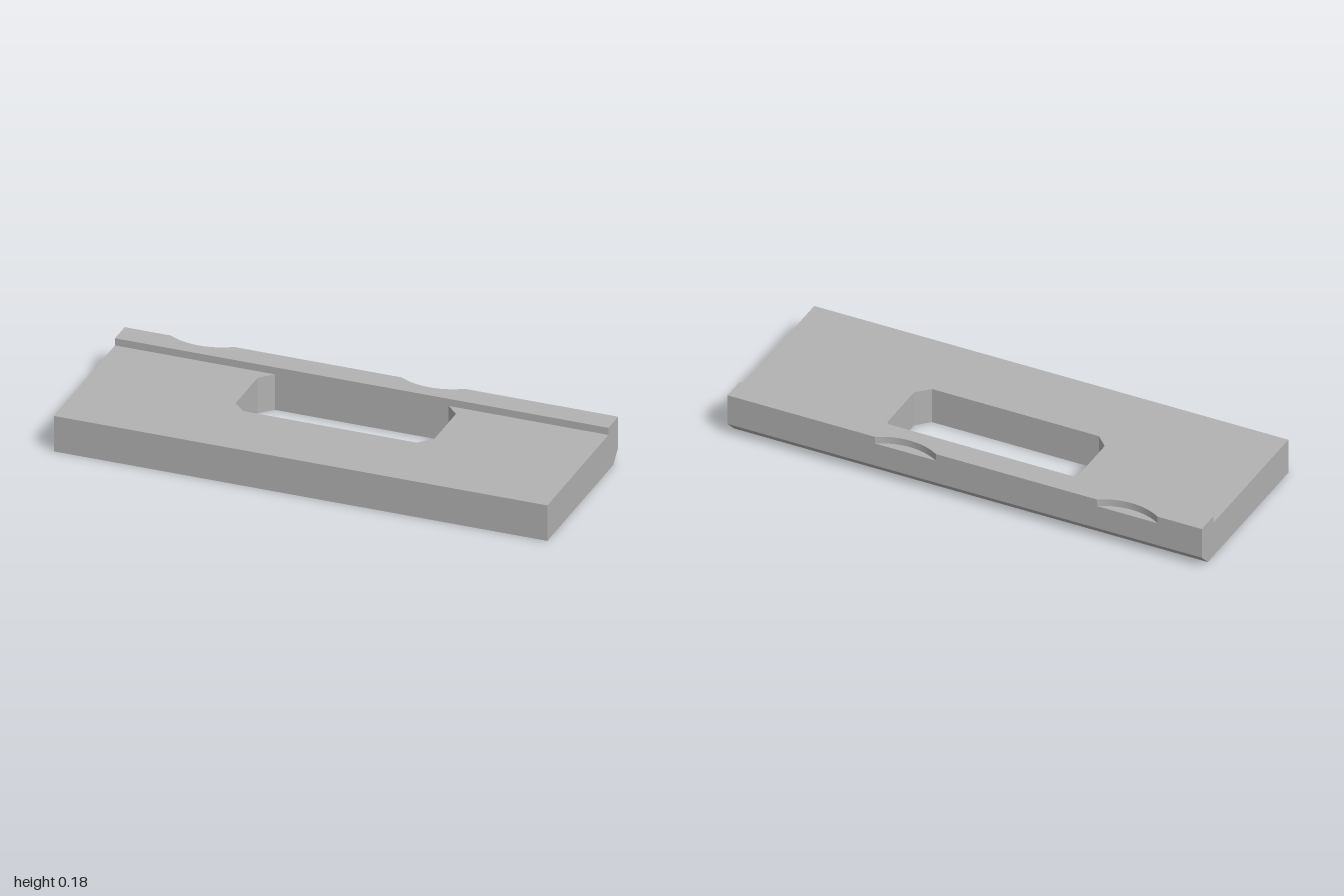
import * as THREE from 'three';
import { toCreasedNormals } from 'three/addons/utils/BufferGeometryUtils.js';

const HALF = 0.362;      // half depth of the plate
const RAIL = 0.263;      // inner edge of the raised rail
const SLAB_H = 0.15;
const RAIL_H = 0.03;
const BEVEL = 0.05;

// Extrude a plan shape upwards; plan y points to the back (-z)
function extrudeUp(shape, depth, steps = 1) {
  const geo = new THREE.ExtrudeGeometry(shape, { depth, steps, bevelEnabled: false, curveSegments: 24 });
  return geo.rotateX(-Math.PI / 2);
}

const outline = (points) => points.map(([x, y]) => new THREE.Vector2(x, y));

function makeSlab() {
  const shape = new THREE.Shape(outline([[-1, -HALF], [1, -HALF], [1, HALF], [-1, HALF]]));

  // Slot with clipped corners, flush with the rail
  const w = 0.402, front = -0.062, back = RAIL, c = BEVEL;
  shape.holes.push(new THREE.Path(outline([
    [-w + c, front], [-w, front + c], [-w, back - c], [-w + c, back],
    [w - c, back], [w, back - c], [w, front + c], [w - c, front],
  ])));

  // Three layers, so the lowest one can be drawn in as the underside bevel
  const geo = extrudeUp(shape, SLAB_H, 3);
  const pos = geo.attributes.position;
  for (let i = 0; i < pos.count; i++) {
    if (pos.getY(i) < 0.001 && pos.getZ(i) < -HALF + 0.001) pos.setZ(i, -HALF + BEVEL);
  }
  return toCreasedNormals(geo, 0.5);
}

function makeRail() {
  const halfChord = 0.128, sag = 0.037;
  const radius = (halfChord ** 2 + sag ** 2) / (2 * sag);
  const a = Math.asin(halfChord / radius);

  // Strip with two shallow round scallops in its back edge
  const shape = new THREE.Shape();
  shape.moveTo(-1, RAIL);
  shape.lineTo(1, RAIL);
  shape.lineTo(1, HALF);
  for (const x of [0.25, -0.685]) {
    shape.absarc(x, HALF + radius - sag, radius, -Math.PI / 2 + a, -Math.PI / 2 - a, true);
  }
  shape.lineTo(-1, HALF);
  shape.closePath();
  return toCreasedNormals(extrudeUp(shape, RAIL_H).translate(0, SLAB_H, 0), 0.5);
}

export function createModel() {
  const grey = new THREE.MeshStandardMaterial({ color: 0xb2b2b2 });
  grey.name = 'grey';

  const group = new THREE.Group();
  group.name = 'slottedPlate';
  const add = (name, geo) => {
    const mesh = new THREE.Mesh(geo, grey);
    mesh.name = name;
    group.add(mesh);
  };
  add('slab', makeSlab());
  add('scallopedRail', makeRail());
  return group;
}
